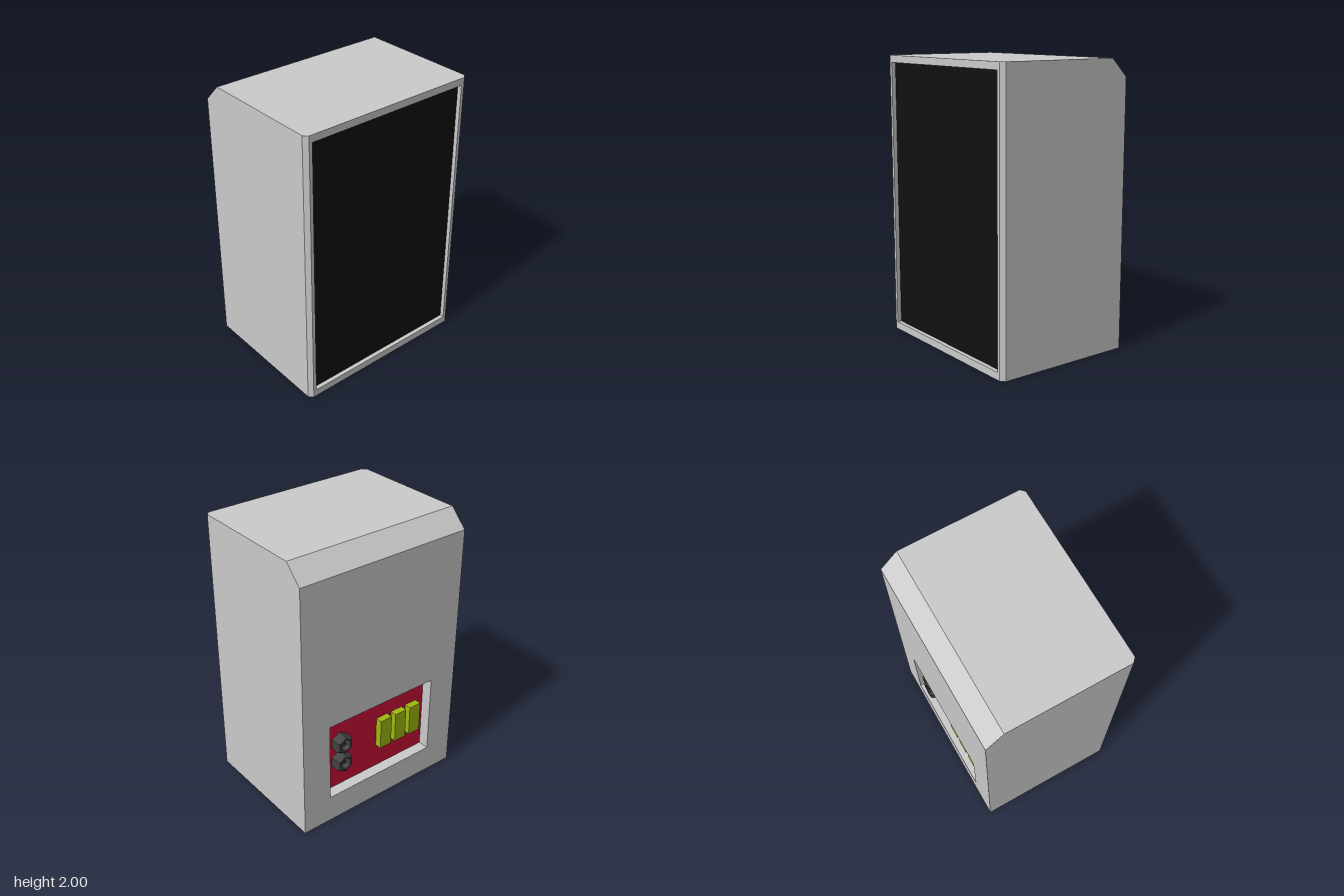
import * as THREE from 'three';

const W = 0.665, H = 2, D = 0.51;      // half width, height, half depth
const EDGE = 0.028;                    // chamfer of the upright front edges
const SLOPE = 0.125;                   // chamfer along the top of the back
const SCREEN_Z = D - 0.03, PANEL_Z = -D + 0.08;

const grey = (color = 0xcccccc) => new THREE.MeshStandardMaterial({ color, flatShading: true });

// Collects flat convex polygons, corners counter-clockwise from outside
function shell() {
  const pos = [];
  const poly = (...p) => {
    for (let i = 1; i < p.length - 1; i++) pos.push(...p[0], ...p[i], ...p[i + 1]);
  };
  // Band between two matching loops
  const ring = (outer, inner) => outer.forEach((o, i) => {
    const j = (i + 1) % outer.length;
    poly(o, outer[j], inner[j], inner[i]);
  });
  const build = () => {
    const g = new THREE.BufferGeometry();
    g.setAttribute('position', new THREE.Float32BufferAttribute(pos, 3));
    g.computeVertexNormals();
    return g;
  };
  return { poly, ring, build };
}

// Rectangle loop at depth z, counter-clockwise seen from +z (dir 1) or -z (dir -1)
const rect = (x, y0, y1, z, dir) =>
  [[-x * dir, y0, z], [x * dir, y0, z], [x * dir, y1, z], [-x * dir, y1, z]];

export function createModel() {
  const model = new THREE.Group();
  const add = (name, geometry, material, parent = model) => {
    const mesh = new THREE.Mesh(geometry, material);
    mesh.name = name;
    parent.add(mesh);
    return mesh;
  };

  // Cabinet with a recess in the front and one in the back
  const s = shell();
  const xf = W - EDGE, zf = D - EDGE, yb = H - SLOPE, zb = -D + SLOPE;
  const front = (z) => rect(0.613, 0.053, 1.95, z, 1);
  const back = (z) => rect(0.448, 0.2, 0.79, z, -1);
  s.ring(rect(xf, 0, H, D, 1), front(D));
  s.ring(front(D), front(SCREEN_Z));
  s.ring(rect(W, 0, yb, -D, -1), back(-D));
  s.ring(back(-D), back(PANEL_Z));
  s.poly([W, yb, -D], [-W, yb, -D], [-W, H, zb], [W, H, zb]);
  s.poly([-xf, H, D], [xf, H, D], [W, H, zf], [W, H, zb], [-W, H, zb], [-W, H, zf]);
  s.poly([-xf, 0, D], [-W, 0, zf], [-W, 0, -D], [W, 0, -D], [W, 0, zf], [xf, 0, D]);
  for (const side of [1, -1]) {
    const wall = [[W, 0, zf], [W, 0, -D], [W, yb, -D], [W, H, zb], [W, H, zf]];
    const chamfer = [[xf, 0, D], [W, 0, zf], [W, H, zf], [xf, H, D]];
    for (const f of [wall, chamfer]) {
      const pts = f.map(([x, y, z]) => [x * side, y, z]);
      s.poly(...(side > 0 ? pts : pts.reverse()));
    }
  }
  add('cabinet', s.build(), grey());

  // Dark front cover
  add('frontCover', new THREE.PlaneGeometry(1.226, 1.897), grey(0x111111))
    .position.set(0, 1.0015, SCREEN_Z);

  // Connection panel on the back
  const panel = new THREE.Group();
  panel.name = 'connectionPanel';
  panel.position.set(0, 0.495, PANEL_Z);
  model.add(panel);
  add('panelPlate', new THREE.PlaneGeometry(0.896, 0.59), grey(0xcb0f36), panel).rotation.y = Math.PI;

  // Hollow six-sided sockets with a centre pin
  const profile = [[0.073, 0], [0.073, 0.055], [0.06, 0.073], [0.045, 0.073], [0.04, 0.025], [0, 0.025]]
    .map(([r, y]) => new THREE.Vector2(r, y));
  const socketGeo = new THREE.LatheGeometry(profile, 6);
  const pinGeo = new THREE.CylinderGeometry(0.015, 0.015, 0.03, 6);
  const dark = grey(0x444444);
  for (const side of [1, -1]) {
    const socket = add('socket', socketGeo, dark, panel);
    socket.position.set(0.308, side * 0.076, 0);
    socket.rotation.x = -Math.PI / 2;
    add('socketPin', pinGeo, dark, socket).position.y = 0.04;
  }

  // Row of three terminal blocks
  const blockGeo = new THREE.BoxGeometry(0.098, 0.228, 0.05);
  const green = grey(0xa0ba10);
  for (let i = 0; i < 3; i++) {
    add('terminalBlock', blockGeo, green, panel).position.set(-0.068 - i * 0.133, 0, -0.025);
  }
  return model;
}
